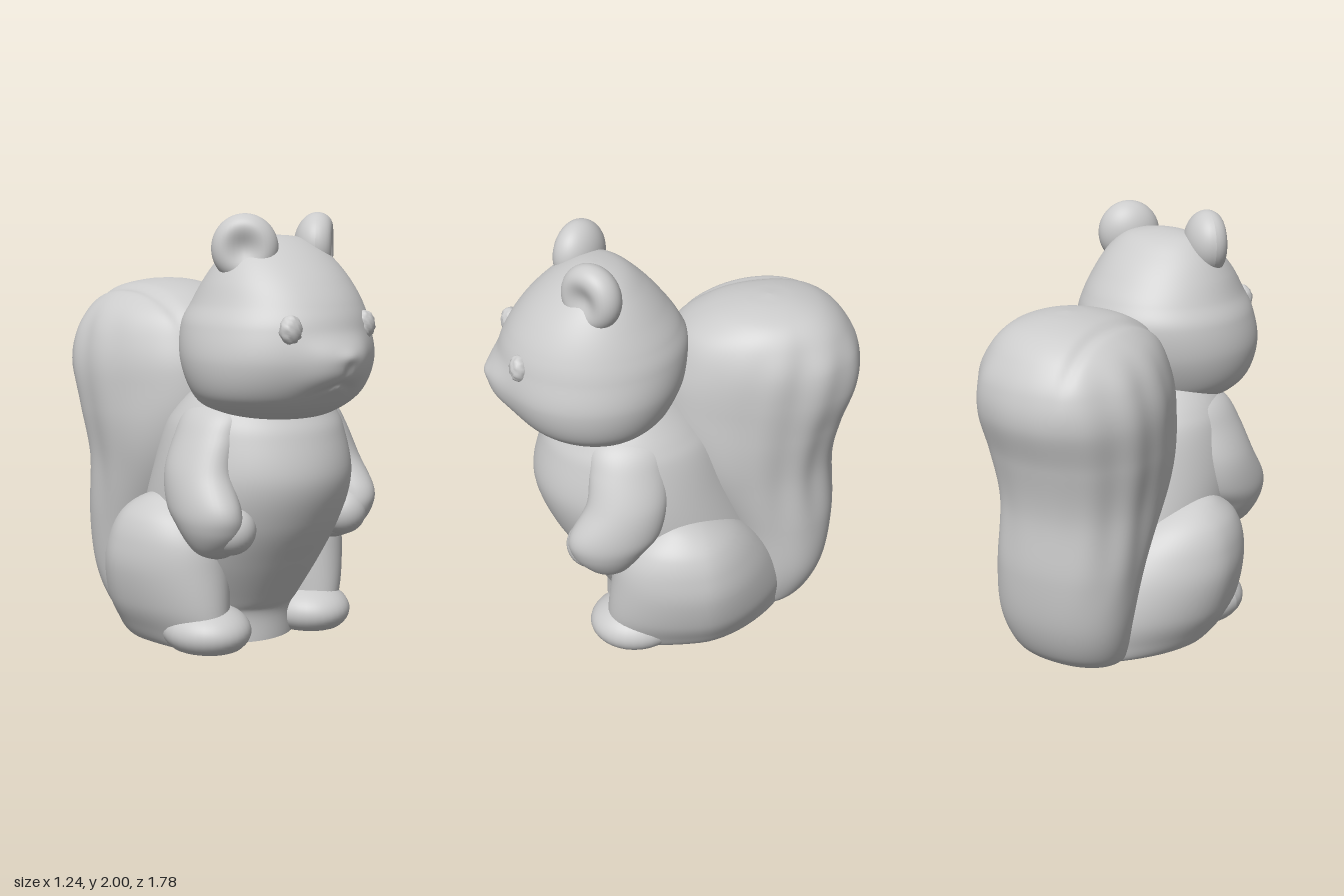
import * as THREE from 'three';

const material = new THREE.MeshStandardMaterial({ color: 0xcccccc, roughness: 0.8 });
const { smoothstep } = THREE.MathUtils;

function addMesh(parent, name, geometry) {
  geometry.computeVertexNormals();
  const mesh = new THREE.Mesh(geometry, material);
  mesh.name = name;
  parent.add(mesh);
  return mesh;
}

// Move every vertex of a geometry by a rule
function reshape(geometry, rule) {
  const pos = geometry.attributes.position;
  const v = new THREE.Vector3();
  for (let i = 0; i < pos.count; i++) {
    v.fromBufferAttribute(pos, i);
    rule(v);
    pos.setXYZ(i, v.x, v.y, v.z);
  }
  return geometry;
}

// Stack of superellipse rings; sections are [y, centreX, centreZ, radiusX, radiusZ].
// Squared radii are splined so that zero-radius ends close as round domes.
function loft(sections, { steps = 8, sides = 64, power = 2, smooth = true } = {}) {
  const centre = new THREE.CatmullRomCurve3(
    sections.map(([y, x, z]) => new THREE.Vector3(x, y, z)), false, 'catmullrom');
  const radius = new THREE.CatmullRomCurve3(
    sections.map((s) => new THREE.Vector3(s[3] ** 2, 0, s[4] ** 2)), false, 'catmullrom');
  const rows = (sections.length - 1) * (smooth ? steps : 1);
  const positions = [], index = [];
  const bend = (c) => Math.sign(c) * Math.abs(c) ** (2 / power);
  for (let i = 0; i <= rows; i++) {
    const c = centre.getPoint(i / rows), r = radius.getPoint(i / rows);
    const rx = Math.sqrt(Math.max(r.x, 0)), rz = Math.sqrt(Math.max(r.z, 0));
    for (let j = 0; j < sides; j++) {
      const t = (j / sides) * Math.PI * 2;
      positions.push(c.x + rx * bend(Math.cos(t)), c.y, c.z + rz * bend(Math.sin(t)));
      if (i === rows) continue;
      const a = i * sides + j, b = i * sides + (j + 1) % sides;
      index.push(a, a + sides, b, b, a + sides, b + sides);
    }
  }
  const geometry = new THREE.BufferGeometry();
  geometry.setAttribute('position', new THREE.Float32BufferAttribute(positions, 3));
  geometry.setIndex(index);
  return geometry;
}

// Section from front and back z limits
const span = (y, x, rx, front, back) => [y, x, (front + back) / 2, rx, (front - back) / 2];

function ellipsoid([x, y, z], [rx, ry, rz], detail = 32) {
  return new THREE.SphereGeometry(1, detail, detail).scale(rx, ry, rz).translate(x, y, z);
}

const flattenBase = (v) => { v.y = Math.max(v.y, 0); };

// Bell curve for soft bumps and grooves; a higher power gives a flatter top
const bell = (d, width, power = 2) => Math.exp(-(Math.abs(d / width) ** power));

export function createModel() {
  const model = new THREE.Group();
  model.name = 'squirrel';

  // Torso with round belly
  addMesh(model, 'body', loft([
    span(0, 0, 0.36, 0.35, -0.5),
    span(0.13, 0, 0.36, 0.35, -0.5),
    span(0.2, 0, 0.37, 0.39, -0.5),
    span(0.4, 0, 0.43, 0.515, -0.44),
    span(0.6, 0, 0.455, 0.63, -0.36),
    span(0.8, 0, 0.455, 0.69, -0.28),
    span(1.0, 0, 0.42, 0.645, -0.2),
    span(1.1, 0, 0.38, 0.59, -0.12),
    span(1.22, 0, 0.29, 0.5, 0.02),
  ]));

  // Flat underside with a shallow hollow
  addMesh(model, 'baseHollow', loft([
    [0.13, 0, -0.02, 0, 0],
    [0.11, 0, -0.02, 0.15, 0.14],
    [0, 0, -0.02, 0.21, 0.2],
    [0, 0, -0.075, 0.36, 0.425],
  ], { smooth: false }));

  // Head, broad at the cheeks and tapering to the crown
  const head = new THREE.Group();
  head.name = 'head';
  model.add(head);
  const skull = loft([
    span(1.06, -0.01, 0, 0.42, 0.28),
    span(1.1, -0.01, 0.29, 0.635, 0.1),
    span(1.2, -0.01, 0.41, 0.765, 0.02),
    span(1.35, -0.01, 0.45, 0.83, -0.045),
    span(1.5, -0.01, 0.425, 0.815, -0.06),
    span(1.6, 0, 0.385, 0.775, -0.02),
    span(1.7, 0, 0.34, 0.705, 0.05),
    span(1.8, 0, 0.275, 0.6, 0.14),
    span(1.87, 0, 0.19, 0.49, 0.23),
    span(1.9, 0, 0, 0.37, 0.37),
  ], { steps: 14, sides: 180 });
  addMesh(head, 'skull', reshape(skull, (v) => {
    if (v.z < 0.5) return;
    const x = v.x + 0.02;
    v.z += 0.048 * bell(x, 0.17, 3) * bell(v.y - 1.345, 0.11, 3);       // snout
    v.z += 0.012 * bell(x, 0.05) * bell(v.y - 1.385, 0.03);             // nose
    v.z -= 0.01 * bell(x, 0.015) * bell(v.y - 1.31, 0.04);              // lip parting
    if (Math.abs(x) < 0.15) {
      v.z -= 0.016 * bell(v.y - 1.265 + 0.35 * Math.abs(x), 0.014) * bell(x, 0.08); // mouth
    }
  }));

  for (const s of [1, -1]) {
    const side = s > 0 ? 'left' : 'right';

    addMesh(head, side + 'Eye', reshape(ellipsoid([-0.02 + s * 0.22, 1.505, 0.74], [0.055, 0.065, 0.045], 20),
      (v) => { v.z += 0.006 * Math.sin(v.x * 160) * Math.sin(v.y * 140); }));

    // Thick round ear, turned outward with a dished front
    const ear = addMesh(head, side + 'Ear', reshape(new THREE.SphereGeometry(1, 40, 40), (v) => {
      if (v.z > 0) v.z *= 1 - 0.6 * Math.exp(-(v.x ** 2 + v.y ** 2) / 0.35);
      v.multiply(new THREE.Vector3(0.15, 0.155, 0.11));
    }));
    ear.position.set(s * 0.22, 1.845, 0.41);
    ear.rotation.y = s * 0.75;

    // Arm hanging down and folded on the belly
    const arm = new THREE.Group();
    arm.name = side + 'Arm';
    model.add(arm);
    addMesh(arm, side + 'UpperArm', loft([
      [0.45, s * 0.36, 0.38, 0, 0],
      [0.5, s * 0.375, 0.385, 0.1, 0.11],
      [0.6, s * 0.4, 0.385, 0.13, 0.18],
      [0.7, s * 0.415, 0.355, 0.13, 0.215],
      [0.85, s * 0.395, 0.295, 0.125, 0.19],
      [1.0, s * 0.335, 0.28, 0.12, 0.18],
      [1.1, s * 0.28, 0.27, 0.115, 0.17],
      [1.18, s * 0.24, 0.27, 0, 0],
    ], { sides: 40 }));
    addMesh(arm, side + 'Hand', ellipsoid([s * 0.345, 0.595, 0.46], [0.115, 0.115, 0.12]));

    // Haunch sloping back to the foot of the tail: y, outer x, inner x, front z, back z
    addMesh(model, side + 'Haunch', reshape(loft([
      [0, 0.35, 0.35, -0.08, -0.08],
      [0, 0.465, 0.22, 0.36, -0.52],
      [0.08, 0.525, 0.15, 0.39, -0.54],
      [0.2, 0.585, 0.12, 0.39, -0.52],
      [0.37, 0.62, 0.1, 0.37, -0.44],
      [0.5, 0.61, 0.12, 0.345, -0.35],
      [0.6, 0.575, 0.16, 0.29, -0.25],
      [0.68, 0.5, 0.24, 0.19, -0.11],
      [0.72, 0.38, 0.38, 0.06, 0.06],
    ].map(([y, outer, inner, front, back]) =>
      span(y, s * (outer + inner) / 2, (outer - inner) / 2, front, back))), (v) => {
      v.x -= s * 0.7 * Math.max(0, -0.05 - v.z) ** 1.6; // taper in toward the tail
      flattenBase(v);
    }));

    addMesh(model, side + 'Foot', reshape(
      ellipsoid([s * 0.315, 0.085, 0.25], [0.2, 0.125, 0.225]), flattenBase));
  }

  // Big upright tail, swelling at the top and slightly off centre
  const tail = loft([
    span(0, -0.02, 0, -0.44, -0.44),
    span(0, -0.02, 0.24, -0.27, -0.6),
    span(0.08, -0.02, 0.29, -0.26, -0.695),
    span(0.25, -0.02, 0.33, -0.26, -0.765),
    span(0.5, -0.03, 0.35, -0.18, -0.795),
    span(0.8, -0.04, 0.37, 0.0, -0.785),
    span(1.05, -0.05, 0.405, 0.08, -0.83),
    span(1.25, -0.05, 0.42, 0.08, -0.89),
    span(1.4, -0.04, 0.405, 0.04, -0.875),
    span(1.52, -0.03, 0.355, -0.02, -0.81),
    span(1.61, -0.01, 0.265, -0.15, -0.71),
    span(1.67, 0.01, 0, -0.44, -0.44),
  ], { sides: 128, steps: 10, power: 2.2 });
  addMesh(model, 'tail', reshape(tail, (v) => {
    // Narrower toward the back of the head, fuller at the left rear
    const upper = smoothstep(v.y, 0.8, 1.2);
    v.x = -0.02 + (v.x + 0.02) * (1 - 0.1 * upper * smoothstep(v.z, -0.5, -0.1));
    v.x += 0.03 * upper * smoothstep(v.x, 0, 0.3) * smoothstep(-v.z, 0.5, 0.75);
    // Fur furrows on the flanks, sweeping up and back
    const fade = smoothstep(v.y, 0.3, 0.8) * (1 - smoothstep(v.y, 1.4, 1.6));
    const angle = Math.abs(Math.atan2(v.x + 0.04, -(v.z + 0.4)));
    const flank = bell(angle - 1.1, 0.6);
    const furrow = 1 + 0.018 * fade * flank * Math.sin(12 * angle + 6 * (v.y - 0.9) ** 2);
    v.x = -0.04 + (v.x + 0.04) * furrow;
    v.z = -0.4 + (v.z + 0.4) * furrow;
    // Shallow parting along the right of the crown
    if (v.y > 1.3) v.y -= 0.015 * bell(v.x + 0.22, 0.03) * Math.min(1, (v.y - 1.3) * 5);
    flattenBase(v);
  }));

  return model;
}
